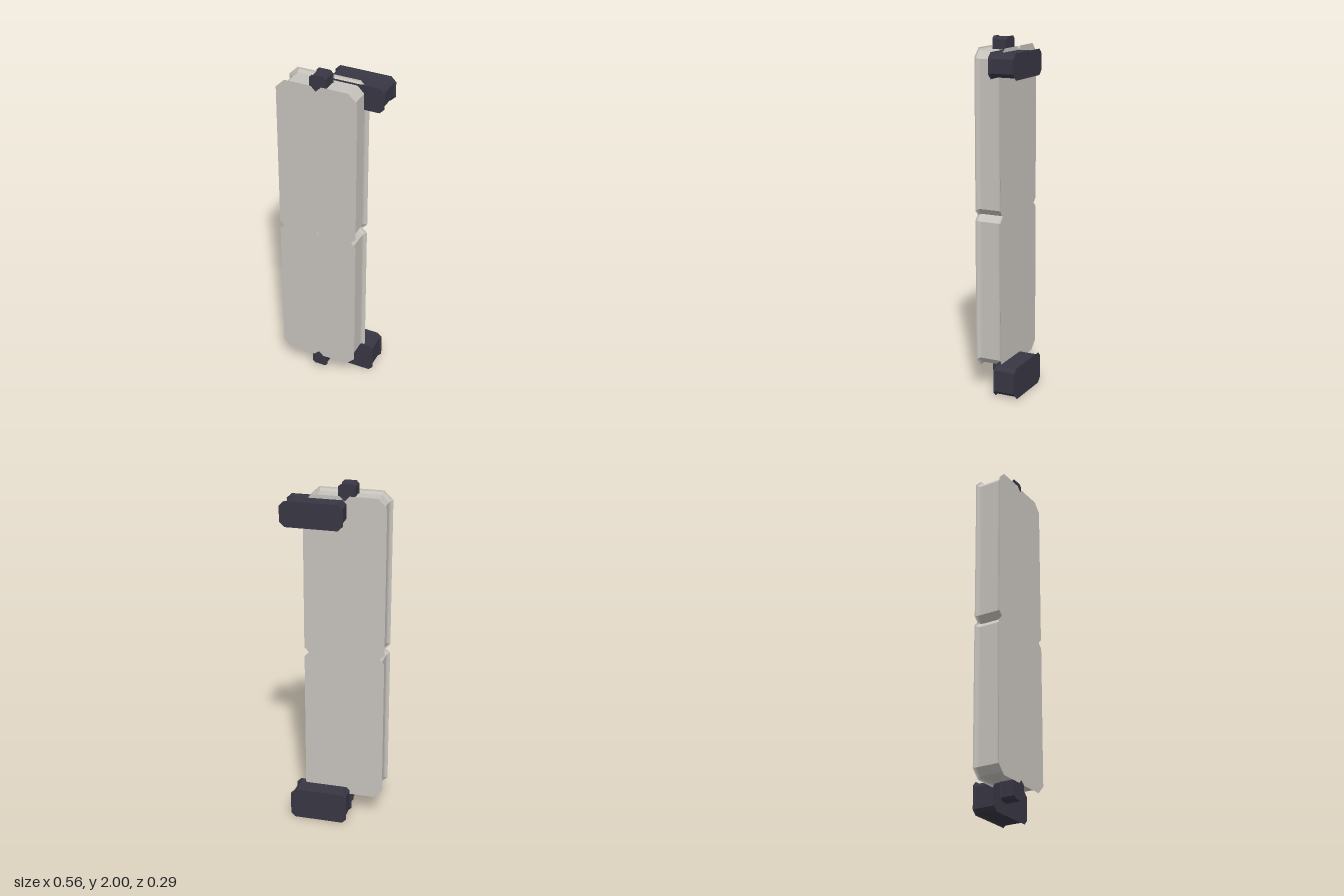
import * as THREE from 'three';

const panelMaterial = new THREE.MeshStandardMaterial({ color: 0xc6c2bc });
panelMaterial.name = 'pale stone';
const bracketMaterial = new THREE.MeshStandardMaterial({ color: 0x383643 });
bracketMaterial.name = 'dark slate';

// Block with cut corners whose sides curve in between two flared rims
function flaredBlock(name, material, [x0, x1], [y0, y1], [z0, z1], cut, inset, flare) {
  const shape = new THREE.Shape([
    [x0 + cut, y0], [x1 - cut, y0], [x1, y0 + cut], [x1, y1 - cut],
    [x1 - cut, y1], [x0 + cut, y1], [x0, y1 - cut], [x0, y0 + cut],
  ].map(([x, y]) => new THREE.Vector2(x, y)));
  const geometry = new THREE.ExtrudeGeometry(shape, {
    depth: z1 - z0 - 2 * flare,
    bevelEnabled: true,
    bevelThickness: flare,
    bevelSize: -inset, // negative size gives the concave flare
    bevelSegments: 4,
  });
  geometry.translate(0, 0, z0 + flare);
  const mesh = new THREE.Mesh(geometry, material);
  mesh.name = name;
  return mesh;
}

export function createModel() {
  const model = new THREE.Group();
  model.name = 'panelledDoor';

  // Four overlapping panels, two columns by two rows
  const left = [-0.28, -0.0275], right = [-0.0725, 0.18];
  const lower = [0.13, 1.0475], upper = [1.0025, 1.948];
  const panels = [
    ['upperRightPanel', left, upper, [-0.016, 0.142]],
    ['upperLeftPanel', right, upper, [-0.021, 0.136]],
    ['lowerRightPanel', left, lower, [-0.017, 0.141]],
    ['lowerLeftPanel', right, lower, [-0.019, 0.137]],
  ];
  for (const [name, x, y, z] of panels) {
    model.add(flaredBlock(name, panelMaterial, x, y, z, 0.05, 0.02, 0.025));
  }

  // Dark brackets behind the panels
  const brackets = [
    ['upperBracket', [-0.073, 0.275], [1.795, 1.938], [-0.145, 0.004], 0.028],
    ['lowerBracket', [-0.095, 0.24], [0, 0.185], [-0.136, -0.002], 0.026],
  ];
  for (const [name, x, y, z, cut] of brackets) {
    model.add(flaredBlock(name, bracketMaterial, x, y, z, cut, 0.011, 0.013));
  }

  // Small pivot blocks at the top and bottom of the middle seam
  const pivots = [
    ['topPivot', [1.89, 2], [0.032, 0.12]],
    ['bottomPivot', [0.045, 0.18], [0.036, 0.124]],
  ];
  for (const [name, y, z] of pivots) {
    model.add(flaredBlock(name, bracketMaterial, [-0.098, -0.001], y, z, 0.016, 0.006, 0.01));
  }
  return model;
}
